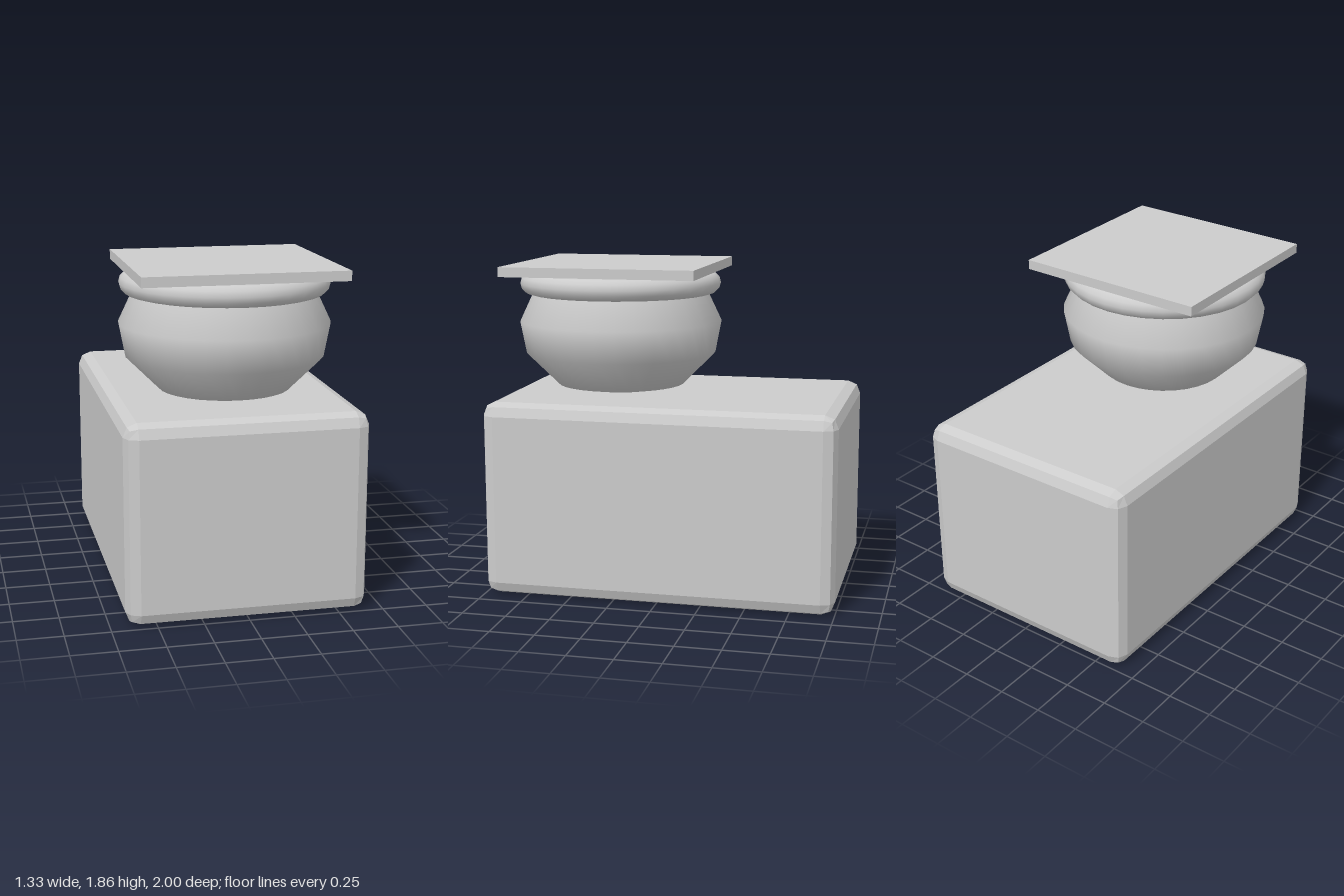
import * as THREE from 'three';
import { RoundedBoxGeometry } from 'three/addons/geometries/RoundedBoxGeometry.js';

export function createModel() {
  const model = new THREE.Group();
  const smooth = new THREE.MeshStandardMaterial({ color: 0xcccccc });
  const flat = new THREE.MeshStandardMaterial({ color: 0xcccccc, flatShading: true });
  const open = new THREE.MeshStandardMaterial({ color: 0xcccccc, side: THREE.DoubleSide });

  const add = (parent, name, geometry, material, y) => {
    const mesh = new THREE.Mesh(geometry, material);
    mesh.name = name;
    mesh.position.y = y;
    parent.add(mesh);
    return mesh;
  };

  // Block with a two-step bevel on every edge
  add(model, 'baseBlock', new RoundedBoxGeometry(1.33, 1.11, 2, 1, 0.075), flat, 0.555);

  // Covered pot standing towards the front of the block
  const pot = new THREE.Group();
  pot.name = 'pot';
  pot.position.set(0, 1.11, 0.355);
  model.add(pot);

  // Bowl: foot, belly and shoulder
  const profile = [
    [0, 0], [0.18, 0.005], [0.37, 0.04], [0.555, 0.225], [0.59, 0.41], [0.505, 0.59], [0.5, 0.63],
  ].map(([r, y]) => new THREE.Vector2(r, y));
  add(pot, 'bowl', new THREE.LatheGeometry(profile, 32), open, 0);

  // Rolled rim
  const rim = new THREE.TorusGeometry(0.522, 0.063, 12, 32).rotateX(Math.PI / 2);
  add(pot, 'rim', rim, smooth, 0.632);

  // Square lid
  add(pot, 'lid', new THREE.BoxGeometry(1.11, 0.055, 1.11), flat, 0.7225);

  return model;
}
